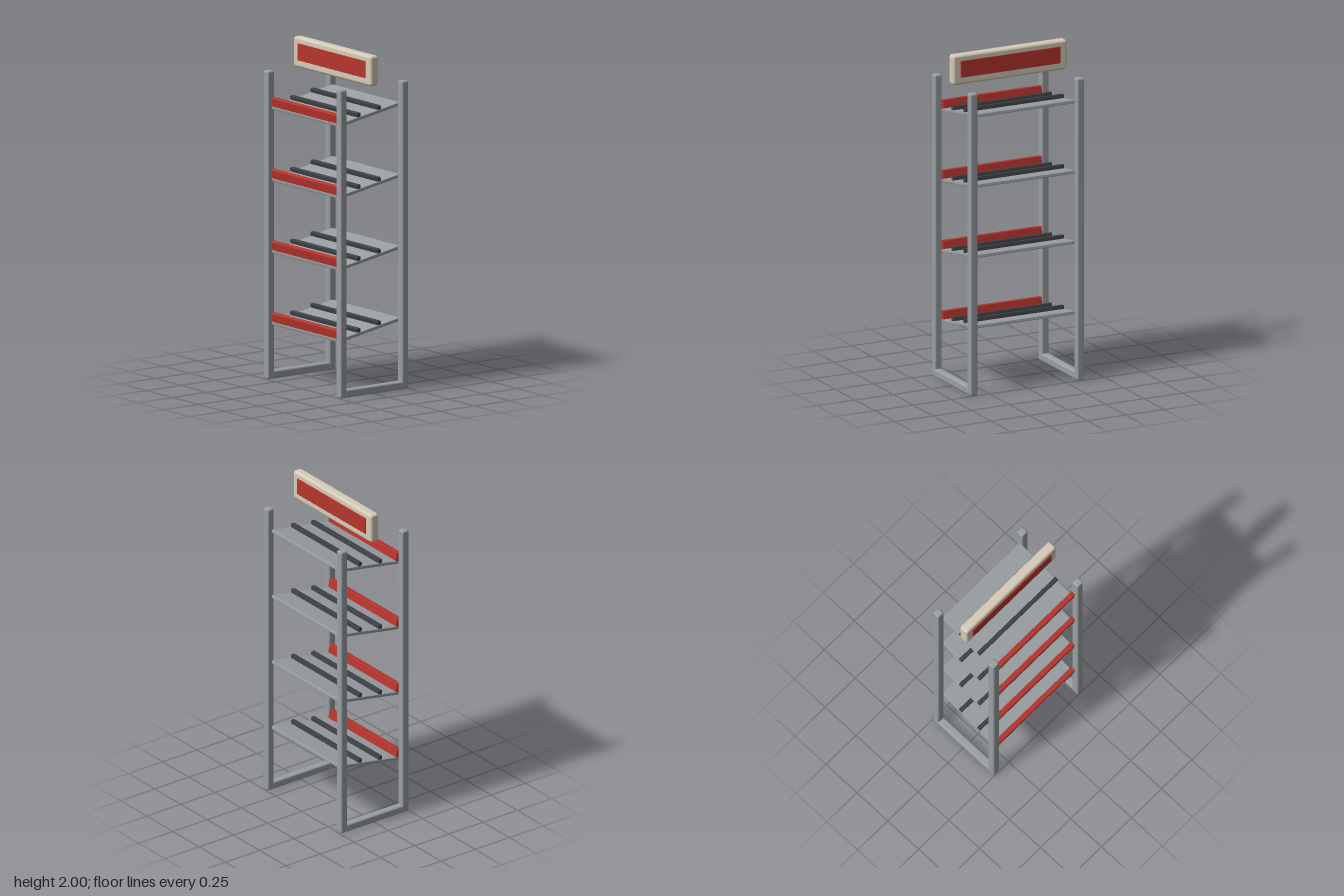
import * as THREE from 'three';
import { RoundedBoxGeometry } from 'three/addons/geometries/RoundedBoxGeometry.js';

const material = (name, color) => {
  const m = new THREE.MeshStandardMaterial({ color });
  m.name = name;
  return m;
};

export function createModel() {
  const steel = material('grey steel', 0x9a9fa3);
  const red = material('red', 0xb8352e);
  const dark = material('dark rubber', 0x3e4245);
  const cream = material('cream', 0xd6ccb8);

  const model = new THREE.Group();
  model.name = 'displayRack';

  // Box with slightly softened edges, placed by its centre
  const block = (parent, name, mat, size, pos, radius) => {
    const mesh = new THREE.Mesh(new RoundedBoxGeometry(...size, 2, radius), mat);
    mesh.name = name;
    mesh.position.set(...pos);
    parent.add(mesh);
    return mesh;
  };

  // Side frames: two posts joined by a floor rail
  const tube = 0.048, postHeight = 1.825;
  for (const [side, sx] of [['left', 1], ['right', -1]]) {
    const frame = new THREE.Group();
    frame.name = side + 'Frame';
    frame.position.x = sx * 0.349;
    for (const [end, sz] of [['Front', 1], ['Back', -1]]) {
      block(frame, side + end + 'Post', steel, [tube, postHeight, tube], [0, postHeight / 2, sz * 0.224], 0.011);
    }
    block(frame, side + 'FloorRail', steel, [tube, tube, 0.43], [0, tube / 2, 0], 0.011);
    model.add(frame);
  }

  // Four shelves sloping down to the front, each with a lip and two ridges
  const width = 0.65;
  for (let i = 0; i < 4; i++) {
    const shelf = new THREE.Group();
    shelf.name = 'shelf' + (i + 1);
    shelf.position.y = 0.369 + i * 0.425;
    shelf.rotation.x = THREE.MathUtils.degToRad(10);
    block(shelf, 'shelfBoard', steel, [width, 0.02, 0.45], [0, 0, 0], 0.004);
    block(shelf, 'frontLip', red, [width - 0.002, 0.063, 0.031], [0, 0.0294, 0.207], 0.005);
    for (const z of [0.075, -0.075]) {
      block(shelf, 'ridge', dark, [width - 0.002, 0.025, 0.025], [0, 0.021, z], 0.004);
    }
    model.add(shelf);
  }

  // Header board with a red panel showing on both faces
  const header = new THREE.Group();
  header.name = 'header';
  header.position.y = 1.91;
  block(header, 'headerBoard', cream, [0.746, 0.18, 0.06], [0, 0, 0], 0.016);
  for (const s of [1, -1]) {
    block(header, s > 0 ? 'frontPanel' : 'backPanel', red, [0.65, 0.1, 0.009], [0, 0.005, s * 0.0315], 0.002);
  }
  model.add(header);

  return model;
}
